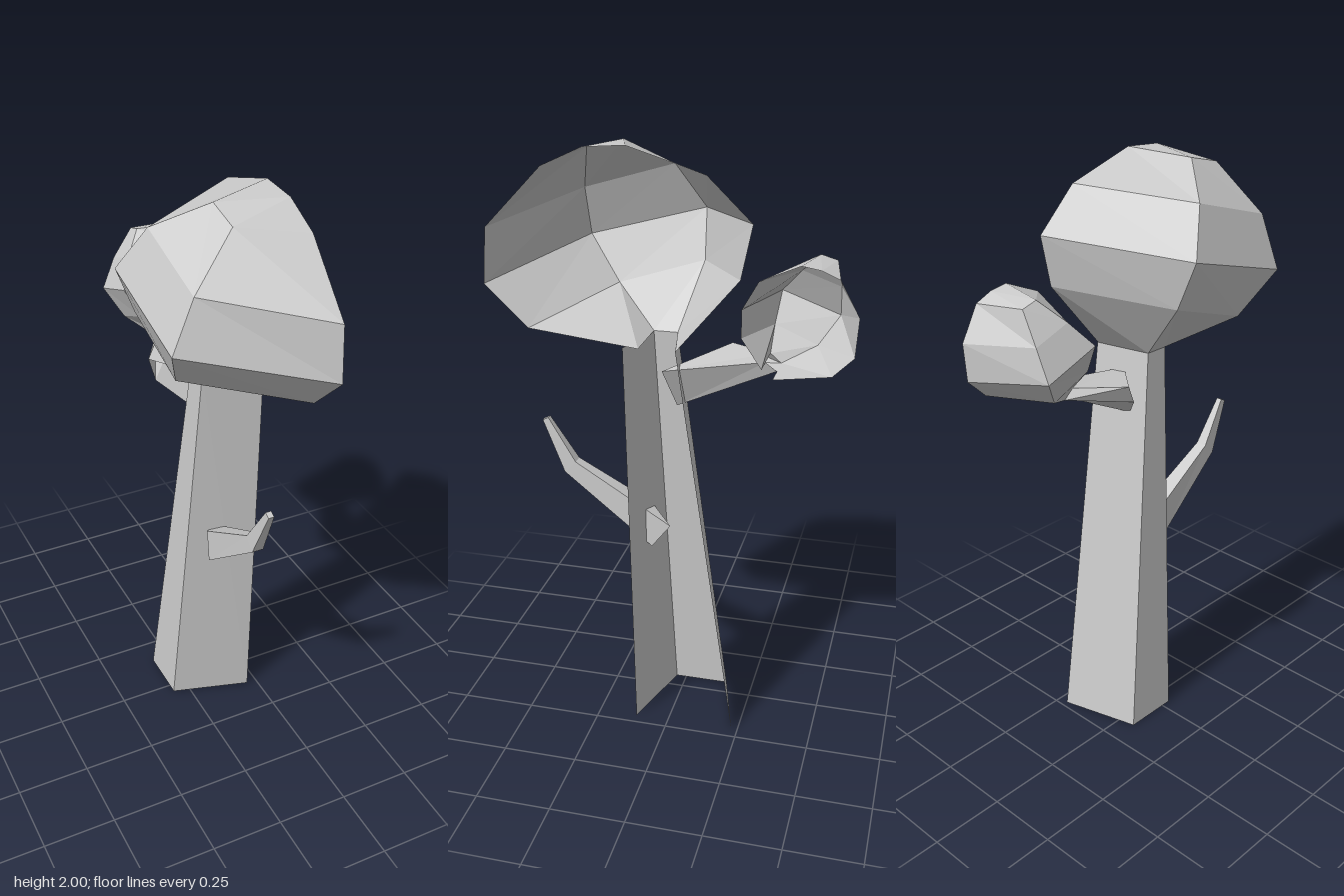
import * as THREE from 'three';

const material = new THREE.MeshStandardMaterial({
  color: 0xcccccc, flatShading: true, side: THREE.DoubleSide,
});

// Skin a stack of equal-length rings with flat faces; optionally wrap round and close the end.
function loft(name, rings, { closed = false, pole = null, capEnd = false } = {}) {
  const pos = [];
  const tri = (a, b, c) => pos.push(...a, ...b, ...c);
  const n = rings[0].length;
  const sides = closed ? n : n - 1;
  for (let i = 0; i < rings.length - 1; i++) {
    for (let j = 0; j < sides; j++) {
      const k = (j + 1) % n;
      const a = rings[i][j], b = rings[i][k], c = rings[i + 1][k], d = rings[i + 1][j];
      tri(a, d, c);
      tri(a, c, b);
    }
  }
  const end = rings[rings.length - 1];
  if (pole) for (let j = 0; j < n - 1; j++) tri(end[j], pole, end[j + 1]);
  if (capEnd) for (let j = 1; j < n - 1; j++) tri(end[0], end[j + 1], end[j]);
  const geometry = new THREE.BufferGeometry();
  geometry.setAttribute('position', new THREE.Float32BufferAttribute(pos, 3));
  geometry.computeVertexNormals();
  const mesh = new THREE.Mesh(geometry, material);
  mesh.name = name;
  return mesh;
}

// Half a six-sided ring: two corners on the open side, two on the outer side.
// Each corner is given as [y, z], ordered from front to back.
const CUT = 0.21;
const halfRing = (outerX, corners, cutX = CUT) =>
  corners.map(([y, z], i) => [i === 0 || i === 3 ? cutX : outerX, y, z]);

// Rectangular-ish branch section from its left/right x and lower/upper [y, z].
const section = (x0, x1, [yl, zl], [yu, zu]) => [
  [x0, yl, zl], [x0, yu, zu], [x1, yu, zu], [x1, yl, zl],
];

export function createModel() {
  const tree = new THREE.Group();
  tree.name = 'halfTree';

  // Tapering trunk, open along the cut side
  const trunkTop = [[1.38, 0.14], [1.38, 0.09], [1.38, 0.01], [1.38, -0.03]];
  tree.add(loft('trunk', [
    halfRing(-0.06, [[0, 0.115], [0, 0.035], [0, -0.155], [0, -0.23]], 0.213),
    halfRing(0.02, trunkTop, 0.213),
  ]));

  // Large crown, tilted down towards the front
  tree.add(loft('crown', [
    halfRing(0.02, [[1.38, 0.09], [1.38, 0.09], [1.38, 0.01], [1.38, -0.03]]),
    halfRing(-0.15, [[1.42, 0.45], [1.485, 0.255], [1.58, -0.04], [1.62, -0.23]]),
    halfRing(-0.215, [[1.555, 0.59], [1.63, 0.37], [1.74, -0.03], [1.79, -0.265]]),
    halfRing(-0.146, [[1.735, 0.575], [1.8, 0.367], [1.89, 0.06], [1.925, -0.125]]),
    halfRing(0, [[1.93, 0.385], [1.955, 0.307], [1.985, 0.186], [2, 0.12]]),
  ], { pole: [CUT, 1.99, 0.255] }));

  // Small crown behind, tilted down towards the back
  tree.add(loft('smallCrown', [
    halfRing(0.05, [[1.345, -0.3], [1.345, -0.3], [1.315, -0.335], [1.315, -0.335]]),
    halfRing(-0.02, [[1.44, -0.235], [1.42, -0.3], [1.36, -0.44], [1.34, -0.515]]),
    halfRing(-0.07, [[1.53, -0.235], [1.52, -0.313], [1.45, -0.503], [1.405, -0.58]]),
    halfRing(-0.025, [[1.62, -0.285], [1.6, -0.38], [1.555, -0.506], [1.53, -0.588]]),
    halfRing(0.037, [[1.675, -0.41], [1.67, -0.444], [1.655, -0.497], [1.64, -0.527]]),
  ], { pole: [CUT, 1.665, -0.47] }));

  // Branch carrying the small crown, splayed at its root
  tree.add(loft('backBranch', [
    [[-0.045, 1.27, -0.125], [0.09, 1.155, -0.005], [0.15, 1.29, 0.03], [-0.055, 1.335, -0.157]],
    [[0.05, 1.315, -0.335], [0.13, 1.315, -0.335], [0.14, 1.345, -0.3], [0.05, 1.345, -0.3]],
  ], { closed: true }));

  // Bare bent branch at the front
  tree.add(loft('frontBranch', [
    [[0.04, 0.655, 0.117], [0.04, 0.77, 0.1], [0.11, 0.72, 0.015], [0.11, 0.635, 0.08]],
    section(0.055, 0.095, [0.875, 0.39], [0.915, 0.35]),
    section(0.065, 0.085, [1.055, 0.465], [1.065, 0.445]),
  ], { closed: true, capEnd: true }));

  return tree;
}
